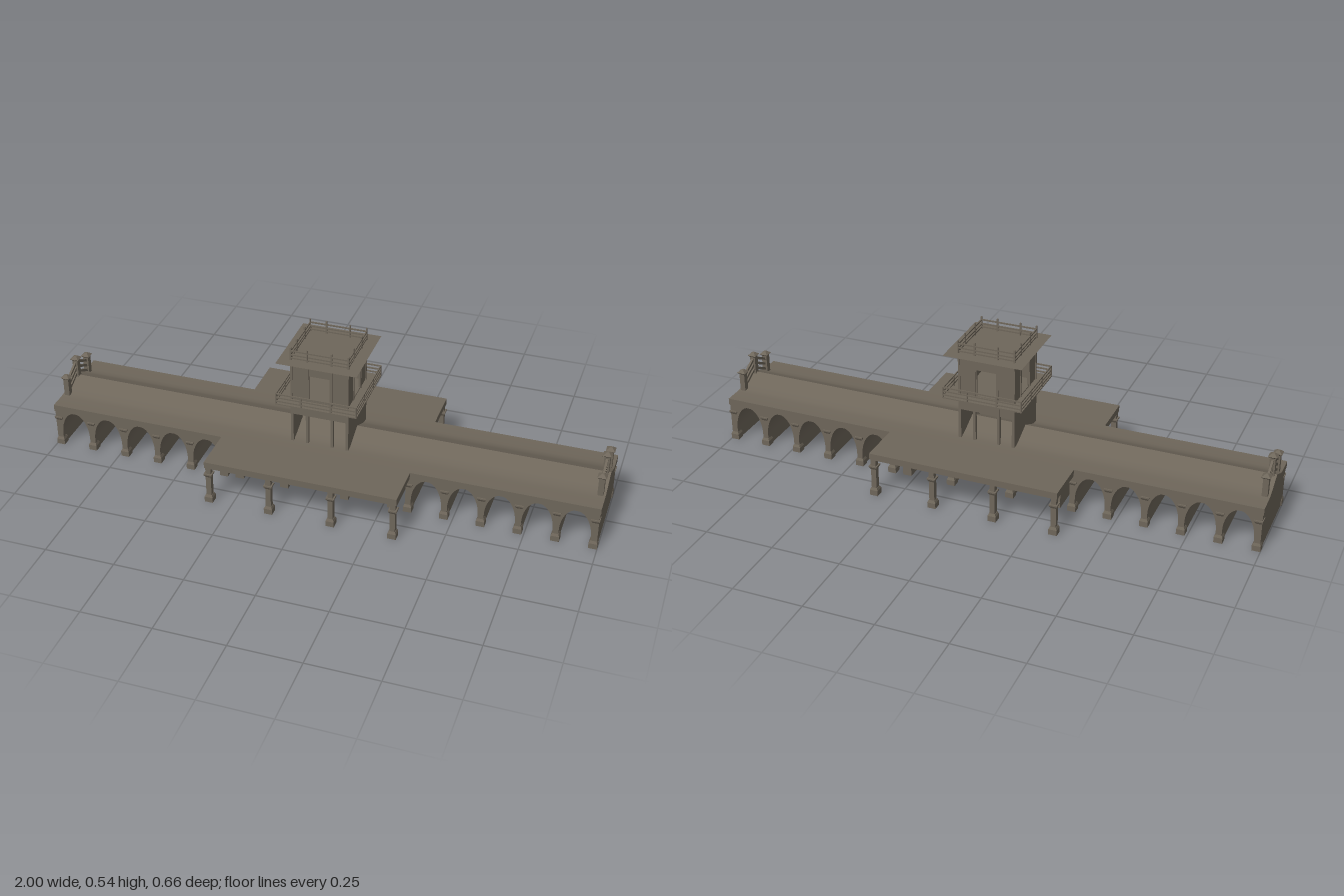
import * as THREE from 'three';
import { toCreasedNormals } from 'three/addons/utils/BufferGeometryUtils.js';

export function createModel() {
  const model = new THREE.Group();
  model.name = 'arcadeHall';
  const stone = new THREE.MeshStandardMaterial({ color: 0x6e665a });
  stone.name = 'stone';

  const group = (name, parent = model) => {
    const g = new THREE.Group();
    g.name = name;
    parent.add(g);
    return g;
  };
  const add = (parent, name, geometry, x = 0, y = 0, z = 0) => {
    const m = new THREE.Mesh(geometry, stone);
    m.name = name;
    m.position.set(x, y, z);
    parent.add(m);
    return m;
  };
  // Box given by its centre in x and z and its bottom and top heights
  const box = (parent, name, w, d, y0, y1, x = 0, z = 0) =>
    add(parent, name, new THREE.BoxGeometry(w, y1 - y0, d), x, (y0 + y1) / 2, z);
  // Square frustum with half widths at bottom and top
  const frustum = (parent, name, bottom, top, y0, y1, x = 0, z = 0) => {
    let geo = new THREE.CylinderGeometry(top * Math.SQRT2, bottom * Math.SQRT2, y1 - y0, 4);
    geo = geo.rotateY(Math.PI / 4).toNonIndexed();
    geo.computeVertexNormals();
    return add(parent, name, geo, x, (y0 + y1) / 2, z);
  };

  // Long vaulted body: one outline with arches cut from the bottom edge
  const arches = [];
  for (const side of [-1, 1]) {
    for (let i = 0; i < 5; i++) arches.push([side * (0.4045 + 0.129 * i), 0.054, 0.045, 0.14]);
    arches.push([side * 0.315, 0.017, 0.09, 0.135]);
    arches.push([side * 0.194, 0.072, 0.055, 0.142]);
  }
  arches.push([0, 0.1, 0.045, 0.143]);
  arches.sort((a, b) => a[0] - b[0]);
  const outline = new THREE.Shape();
  outline.moveTo(-0.997, 0);
  for (const [cx, hw, spring, top] of arches) {
    outline.lineTo(cx - hw, 0);
    outline.lineTo(cx - hw, spring);
    outline.absellipse(cx, spring, hw, top - spring, Math.PI, 0, true);
    outline.lineTo(cx + hw, 0);
  }
  outline.lineTo(0.997, 0);
  outline.lineTo(0.997, 0.16);
  outline.lineTo(-0.997, 0.16);
  const bodyGeo = new THREE.ExtrudeGeometry(outline, { depth: 0.326, bevelEnabled: false, curveSegments: 10 });
  add(model, 'arcadeBody', toCreasedNormals(bodyGeo, 0.6), 0, 0, -0.163);

  // Roof deck rising to a ridge
  const roof = new THREE.Shape();
  const profile = [[0.165, 0.165], [0.105, 0.1652], [0.08, 0.168], [0.055, 0.178], [0, 0.204]];
  roof.moveTo(-0.165, 0.14);
  roof.lineTo(0.165, 0.14);
  for (const [z, y] of profile) roof.lineTo(z, y);
  for (const [z, y] of profile.slice(0, -1).reverse()) roof.lineTo(-z, y);
  const roofGeo = new THREE.ExtrudeGeometry(roof, { depth: 2, bevelEnabled: false });
  // Keep the deck above the arch crowns on the outside faces
  add(model, 'ridgedRoof', toCreasedNormals(roofGeo.rotateY(Math.PI / 2), 0.6), -1, 0, 0);

  // Columns with stepped base and flared capital
  const column = (parent, x, z) => {
    const c = group('column', parent);
    c.position.set(x, 0, z);
    box(c, 'base', 0.03, 0.03, 0, 0.02);
    frustum(c, 'baseTaper', 0.015, 0.011, 0.02, 0.029);
    box(c, 'shaft', 0.019, 0.019, 0.025, 0.142);
    frustum(c, 'capital', 0.01, 0.015, 0.103, 0.112);
    box(c, 'capitalTop', 0.03, 0.03, 0.112, 0.117);
  };
  const bodyColumns = group('bodyColumns');
  const platformColumns = group('platformColumns');
  for (const z of [-1, 1]) {
    for (const x of [-1, 1]) {
      for (let i = 0; i < 6; i++) column(bodyColumns, x * (0.34 + 0.129 * i), z * 0.153);
      column(bodyColumns, x * 0.111, z * 0.153);
      for (const px of [0.112, 0.332]) column(platformColumns, x * px, z * 0.316);
    }
    // Side platforms
    box(model, 'platform', 0.69, 0.167, 0.141, 0.165, 0, z * 0.2445);
  }

  // Gable end posts with caps and sloping rails
  for (const x of [-0.982, 0.982]) {
    const g = group('endBalustrade');
    for (const [z, top] of [[-0.082, 0.24], [0, 0.273], [0.082, 0.24]]) {
      box(g, 'post', 0.02, 0.02, 0.16, top, x, z);
      frustum(g, 'capBottom', 0.01, 0.016, top - 0.006, top, x, z);
      frustum(g, 'capTop', 0.016, 0.004, top, top + 0.01, x, z);
    }
    for (const s of [-1, 1]) {
      for (let i = 0; i < 3; i++) {
        const rail = add(g, 'slopingRail', new THREE.BoxGeometry(0.008, 0.009, 0.078), x, 0.197 + i * 0.021, s * 0.041);
        rail.rotation.x = s * 0.48;
      }
    }
  }

  // Tower
  const tower = group('tower');
  const quarter = (fn) => {
    for (let i = 0; i < 4; i++) {
      const g = group('towerSide', tower);
      g.rotation.y = i * Math.PI / 2;
      fn(g);
    }
  };
  for (const s of [-1, 1]) {
    // Solid lower walls left and right, open posts front and back
    box(tower, 'lowerSideWall', 0.008, 0.21, 0.16, 0.33, s * 0.101);
    for (const x of [-0.1, -0.045, 0.045, 0.1]) box(tower, 'lowerPost', 0.01, 0.01, 0.16, 0.33, x, s * 0.1);
    box(tower, 'lowerBeam', 0.2, 0.008, 0.277, 0.33, 0, s * 0.1);
  }
  frustum(tower, 'balconyFloor', 0.108, 0.146, 0.324, 0.333);
  box(tower, 'balconyEdge', 0.294, 0.294, 0.332, 0.336);

  // Upper room: four walls with a square opening
  const wall = new THREE.Shape();
  wall.moveTo(-0.102, 0.33);
  wall.lineTo(0.102, 0.33);
  wall.lineTo(0.102, 0.488);
  wall.lineTo(-0.102, 0.488);
  const opening = new THREE.Path();
  opening.moveTo(-0.036, 0.34);
  opening.lineTo(-0.036, 0.439);
  opening.lineTo(0.036, 0.439);
  opening.lineTo(0.036, 0.34);
  wall.holes.push(opening);
  const wallGeo = new THREE.ExtrudeGeometry(wall, { depth: 0.006, bevelEnabled: false });

  // Rail run along one side of a square
  const railing = (g, half, y0, y1, bars, posts) => {
    for (const x of posts) box(g, 'railPost', 0.005, 0.005, y0, y1, x, half);
    for (const y of bars) box(g, 'railBar', half * 2, 0.004, y - 0.0025, y + 0.0025, 0, half);
  };
  quarter((g) => {
    add(g, 'upperWall', wallGeo, 0, 0, 0.096);
    for (const x of [-0.101, -0.043, 0.043, 0.101]) box(g, 'wallPost', 0.007, 0.007, 0.335, 0.488, x, 0.1015);
    box(g, 'cornice', 0.21, 0.008, 0.476, 0.49, 0, 0.101);
    railing(g, 0.144, 0.334, 0.375, [0.345, 0.359, 0.373], [-0.144, -0.054, 0.054, 0.144]);
    railing(g, 0.103, 0.492, 0.542, [0.502, 0.514, 0.529], [-0.103, -0.043, 0.043, 0.103]);
  });
  // Thin overhanging roof
  frustum(tower, 'towerRoof', 0.107, 0.144, 0.488, 0.4945);

  return model;
}
